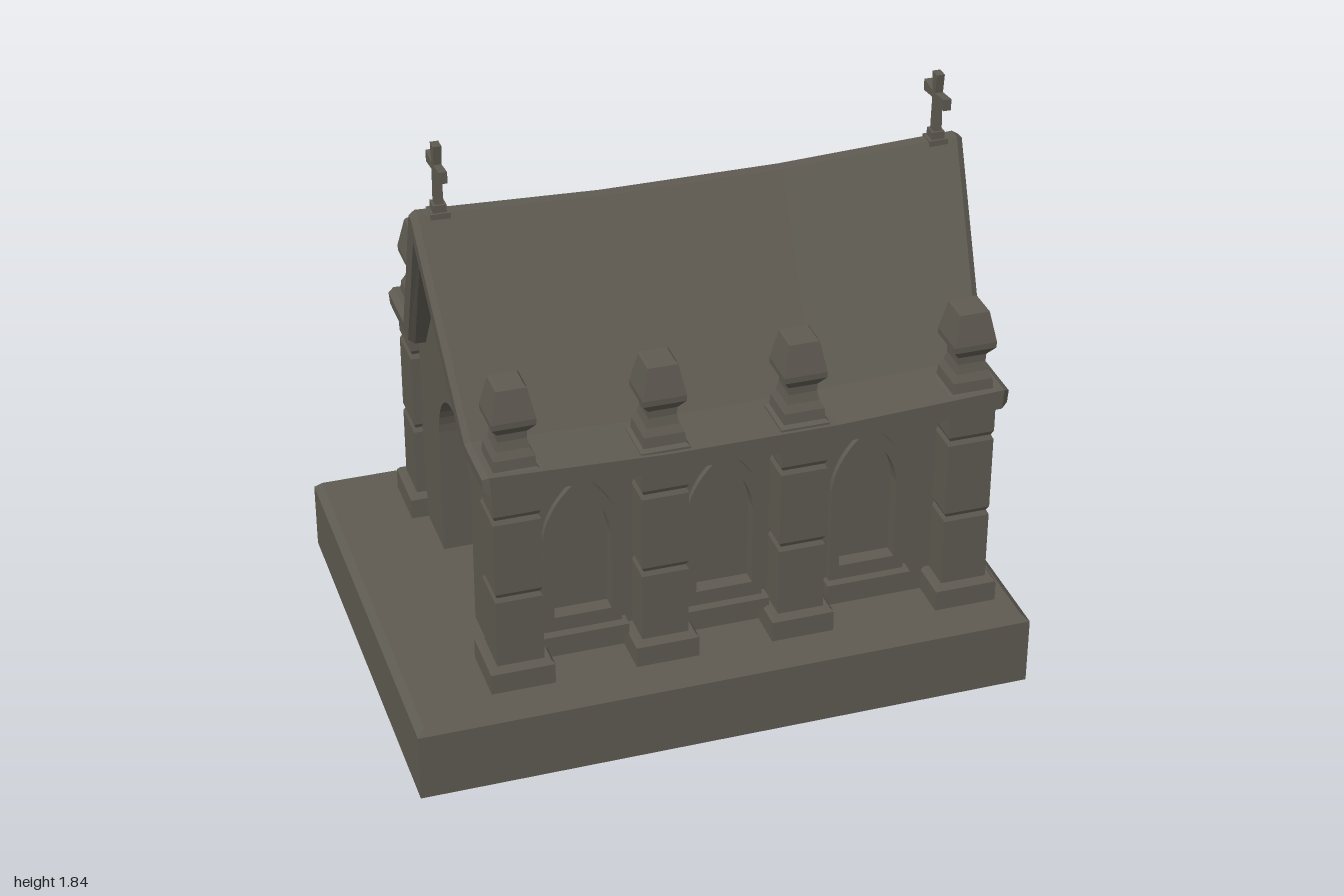
import * as THREE from 'three';

const stone = new THREE.MeshStandardMaterial({ color: 0x5f5b52, side: THREE.DoubleSide });
stone.name = 'dark stone';

const flat = (geo) => {
  const g = geo.index ? geo.toNonIndexed() : geo;
  g.computeVertexNormals();
  return g;
};

function add(parent, name, geo, x = 0, y = 0, z = 0) {
  const mesh = new THREE.Mesh(geo, stone);
  mesh.name = name;
  mesh.position.set(x, y, z);
  parent.add(mesh);
  return mesh;
}

// Square-section solid from [half width, height] pairs
function squareTurned(profile) {
  const pts = profile.map(([r, y]) => new THREE.Vector2(r * Math.SQRT2, y));
  return flat(new THREE.LatheGeometry(pts, 4).rotateY(Math.PI / 4));
}

const polygon = (pts) => new THREE.Shape(pts.map(([x, y]) => new THREE.Vector2(x, y)));
const extrude = (shape, depth, extra = {}) =>
  new THREE.ExtrudeGeometry(shape, { depth, bevelEnabled: false, curveSegments: 10, ...extra });

// Pointed arch outline, used for frames and for openings
function pointedArch(Type, cx, w, bottom, spring, top) {
  const s = new Type();
  s.moveTo(cx - w, bottom);
  s.lineTo(cx + w, bottom);
  s.lineTo(cx + w, spring);
  s.quadraticCurveTo(cx + w * 0.9, spring + (top - spring) * 0.58, cx, top);
  s.quadraticCurveTo(cx - w * 0.9, spring + (top - spring) * 0.58, cx - w, spring);
  s.closePath();
  return s;
}

const pillarX = [-0.635, -0.17, 0.275, 0.825];
const windowX = [-0.41, 0.05, 0.525];

// Sag of the roof towards its middle
const sag = (x) => 0.028 * (1 - Math.min(1, ((x - 0.1) / 0.85) ** 2));

// Roof with flat eaves: swept gable band, flared at the top and sagging
function roofGeometry() {
  const half = [[0.6, 0.965], [0.6, 1.03], [0.39, 1.03], [0.02, 1.615]];
  const inner = [[0, 1.5], [0.335, 0.965]];
  const shape = polygon([
    ...half, ...half.slice().reverse().map(([z, y]) => [-z, y]),
    [-inner[1][0], inner[1][1]], inner[0], inner[1],
  ]);
  const b = 0.012;
  const geo = extrude(shape, 1 - 2 * b, {
    steps: 3, bevelEnabled: true, bevelThickness: b, bevelSize: b, bevelOffset: -b, bevelSegments: 1,
  });
  geo.translate(0, 0, b).rotateY(Math.PI / 2);
  const p = geo.attributes.position;
  for (let i = 0; i < p.count; i++) {
    const y = p.getY(i);
    const flare = 0.055 * Math.max(0, (y - 0.965) / 0.65);
    const x = 0.1 + (p.getX(i) - 0.5) * 2 * (0.835 + flare);
    p.setXYZ(i, x, y - sag(x), p.getZ(i));
  }
  return flat(geo);
}

// Cross with splayed arms, lying in the z-y plane
function crossGeometry(depth) {
  const n = 0.011, e = 0.019;
  const shape = polygon([
    [-0.016, -0.13], [0.016, -0.13], [n, -n], [0.08, -e], [0.08, e], [n, n],
    [e, 0.075], [-e, 0.075], [-n, n], [-0.08, e], [-0.08, -e], [-n, -n],
  ]);
  return extrude(shape, depth).translate(0, 0, -depth / 2).rotateY(Math.PI / 2);
}

// Gable end wall, optionally with a doorway
function endWall(door) {
  const shape = polygon([[-0.47, 0.24], [0.47, 0.24], [0.47, 0.98], [0.35, 0.98], [0, 1.53], [-0.35, 0.98], [-0.47, 0.98]]);
  if (door) {
    const hole = new THREE.Path();
    hole.moveTo(-0.2, 0.25);
    hole.lineTo(0.2, 0.25);
    hole.lineTo(0.2, 0.7);
    hole.absarc(0, 0.7, 0.2, 0, Math.PI, false);
    hole.closePath();
    shape.holes.push(hole);
  }
  return extrude(shape, 0.14).rotateY(Math.PI / 2);
}

// One long side: wall, windows, buttress pillars and finials
function createSide() {
  const side = new THREE.Group();
  const wall = polygon([[-0.66, 0.24], [0.85, 0.24], [0.85, 0.97], [-0.66, 0.97]]);
  windowX.forEach((x) => wall.holes.push(pointedArch(THREE.Path, x, 0.092, 0.41, 0.69, 0.865)));
  add(side, 'sideWall', extrude(wall, 0.05), 0, 0, 0.43);
  add(side, 'windowBacking', new THREE.BoxGeometry(1.5, 0.6, 0.02), 0.1, 0.65, 0.44);

  for (const x of windowX) {
    const frame = pointedArch(THREE.Shape, x, 0.125, 0.355, 0.7, 0.91);
    frame.holes.push(pointedArch(THREE.Path, x, 0.092, 0.41, 0.69, 0.865));
    add(side, 'windowFrame', extrude(frame, 0.02), 0, 0, 0.48);
    add(side, 'windowSill', new THREE.BoxGeometry(0.28, 0.035, 0.06), x, 0.342, 0.5);
  }

  const pillar = squareTurned([
    [0.102, 0.2], [0.102, 0.32], [0.092, 0.332], [0.075, 0.332],
    [0.075, 0.565], [0.068, 0.58], [0.075, 0.595],
    [0.075, 0.845], [0.068, 0.86], [0.075, 0.875], [0.075, 0.97],
  ]);
  const finial = squareTurned([
    [0.078, 1.0], [0.078, 1.02], [0.067, 1.03], [0.064, 1.065], [0.052, 1.09], [0.045, 1.12],
    [0.046, 1.145], [0.068, 1.175], [0.069, 1.195], [0.048, 1.295], [0.04, 1.305], [0, 1.305],
  ]);
  for (const x of pillarX) {
    add(side, 'pillar', pillar, x, 0, 0.51);
    add(side, 'finial', finial, x, -sag(x) * 0.3, 0.51);
  }
  return side;
}

export function createModel() {
  const model = new THREE.Group();
  model.name = 'stoneChapel';

  // Hollow plinth, open underneath
  const plinth = squareTurned([[1, 0], [1, 0.228], [0.975, 0.25], [0, 0.25]]);
  plinth.scale(1, 1, 0.73);
  add(model, 'plinth', flat(plinth));

  // Long sides, the back one mirrored by moving its vertices
  const front = createSide();
  front.name = 'frontSide';
  const back = createSide();
  back.name = 'backSide';
  back.children.forEach((m) => {
    const g = m.geometry.clone().translate(m.position.x, m.position.y, m.position.z).scale(1, 1, -1);
    const flipped = g.index ? g.toNonIndexed() : g;
    const p = flipped.attributes.position;
    const a = new THREE.Vector3(), c = new THREE.Vector3();
    for (let i = 0; i < p.count; i += 3) {
      a.fromBufferAttribute(p, i);
      c.fromBufferAttribute(p, i + 2);
      p.setXYZ(i, c.x, c.y, c.z);
      p.setXYZ(i + 2, a.x, a.y, a.z);
    }
    m.geometry = flat(flipped);
    m.position.set(0, 0, 0);
  });
  model.add(front, back);

  // Gable ends, with the doorway and a relief cross on the right end
  add(model, 'plainEndWall', endWall(false), 0.73);
  add(model, 'doorEndWall', endWall(true), -0.68);
  add(model, 'reliefCross', crossGeometry(0.04).scale(1, 1.2, 1.4), -0.69, 1.17, 0);

  add(model, 'roof', roofGeometry());

  // Ridge crosses on stepped feet
  for (const x of [-0.7, 0.905]) {
    add(model, 'crossFoot', new THREE.BoxGeometry(0.062, 0.04, 0.06), x, 1.595, 0);
    add(model, 'crossCollar', new THREE.BoxGeometry(0.042, 0.03, 0.045), x, 1.625, 0);
    add(model, 'ridgeCross', crossGeometry(0.026), x, 1.76, 0);
  }
  return model;
}
